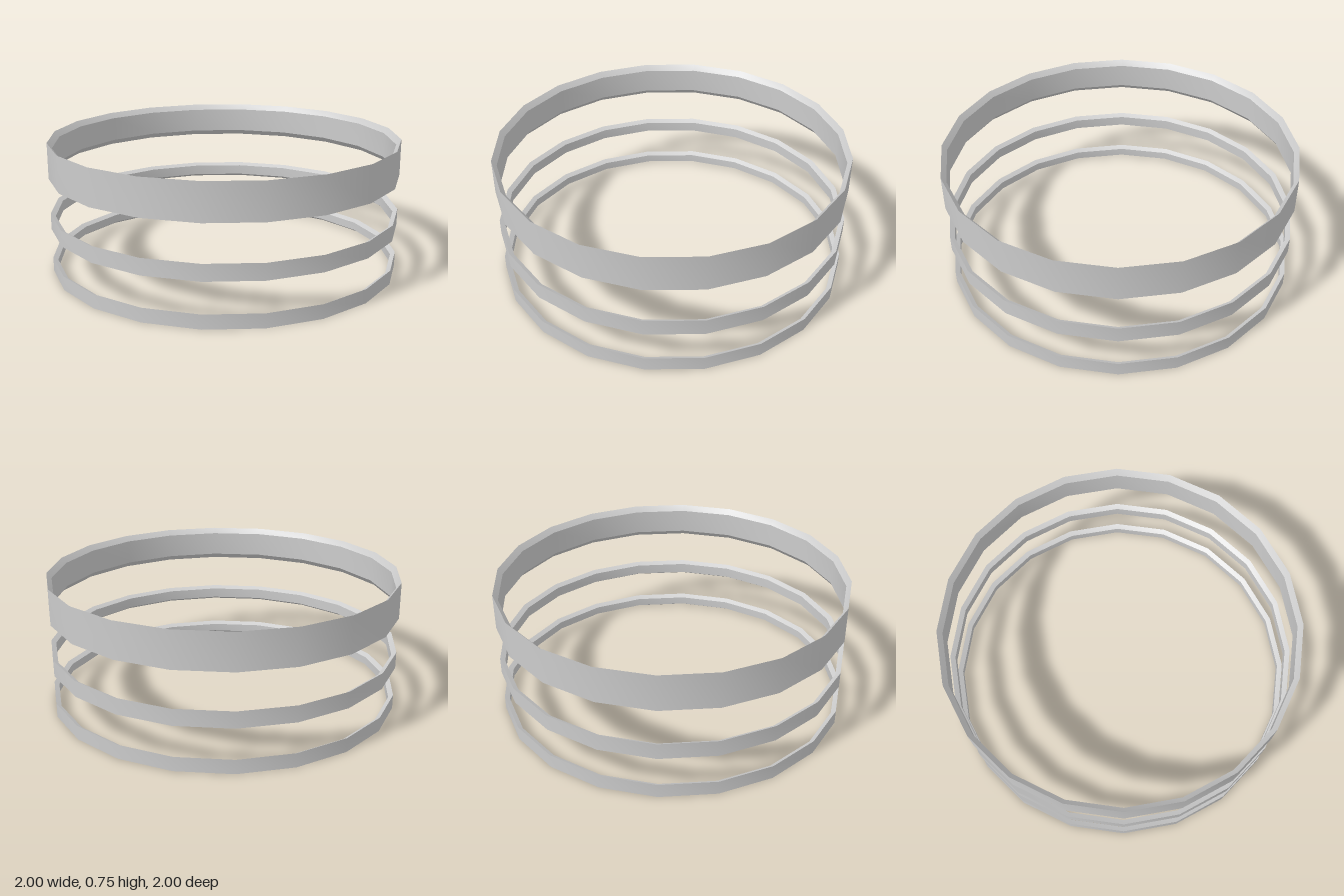
import * as THREE from 'three';
import { toCreasedNormals } from 'three/addons/utils/BufferGeometryUtils.js';

const SIDES = 20;
const OUTER = 1;
const INNER = 0.973;

// Closed hoop: straight outer wall, inner wall with a slope at top and bottom
function hoop(name, bottom, top, slope, material) {
  const profile = [
    [OUTER, bottom],
    [OUTER, top],
    [INNER, top - slope],
    [INNER, bottom + slope],
    [OUTER, bottom],
  ].map(([r, y]) => new THREE.Vector2(r, y));
  const geometry = toCreasedNormals(new THREE.LatheGeometry(profile, SIDES), 0.45);
  const mesh = new THREE.Mesh(geometry, material);
  mesh.name = name;
  return mesh;
}

export function createModel() {
  const group = new THREE.Group();
  group.name = 'hoops';
  const grey = new THREE.MeshStandardMaterial({ color: 0xcccccc });

  group.add(
    hoop('lowerHoop', 0, 0.08, 0.016, grey),
    hoop('middleHoop', 0.25, 0.342, 0.016, grey),
    hoop('wideUpperHoop', 0.545, 0.75, 0.031, grey),
  );
  return group;
}
